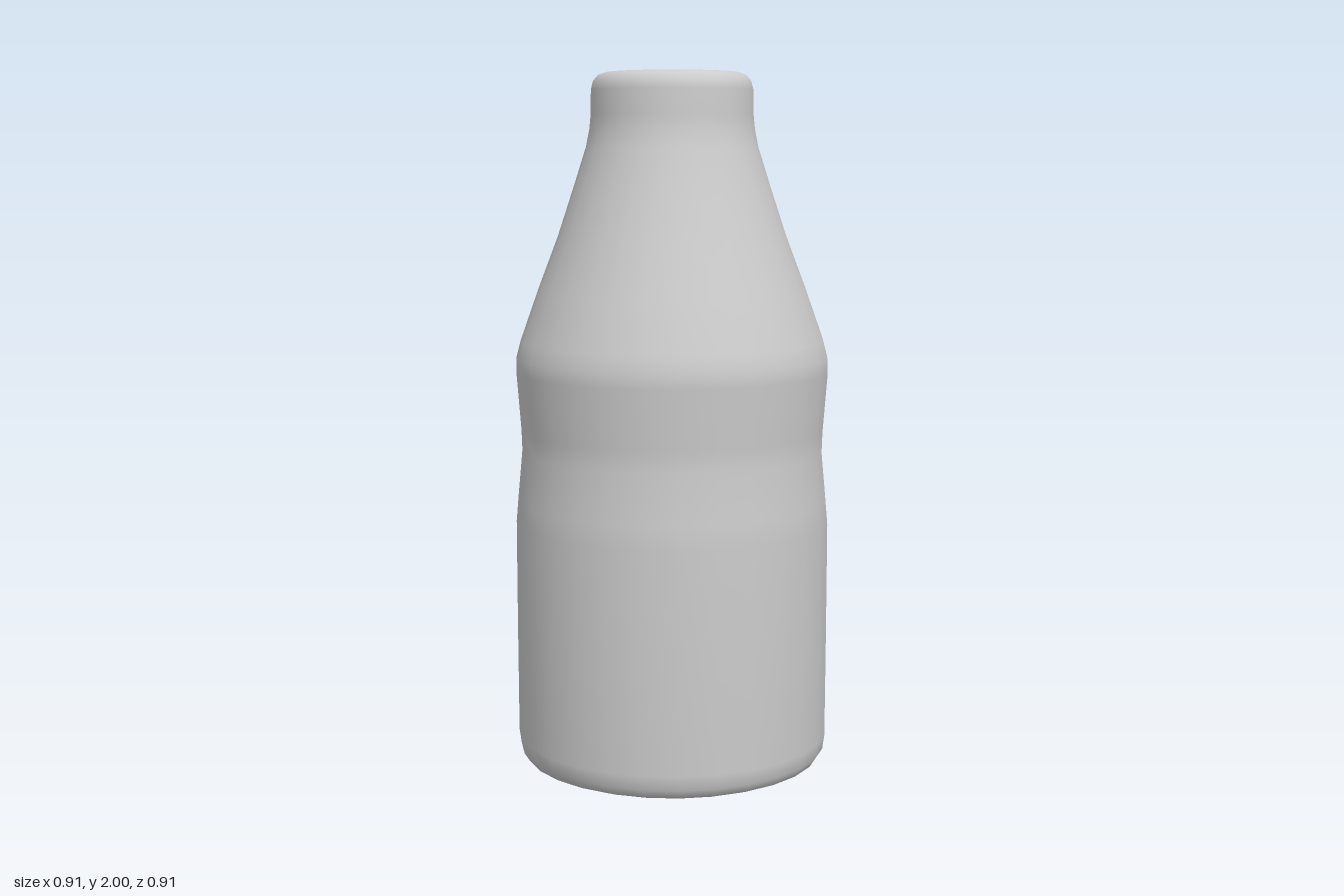
import * as THREE from 'three';

const SIDES = 28;

// Bottle outline from base centre to top centre: [radius, height]
const PROFILE = [
  [0, 0], [0.385, 0], [0.405, 0.002], [0.432, 0.013], [0.448, 0.038], [0.454, 0.08],
  [0.455, 0.4], [0.455, 0.71],                              // straight body
  [0.449, 0.78], [0.436, 0.92], [0.438, 0.98],              // shallow waist
  [0.451, 1.15], [0.45, 1.19], [0.437, 1.24],               // shoulder
  [0.384, 1.39], [0.327, 1.54], [0.281, 1.68], [0.246, 1.79], // taper
  [0.236, 1.84], [0.232, 1.88], [0.231, 1.95],              // neck
  [0.225, 1.975], [0.21, 1.992], [0.19, 1.999], [0.178, 2], [0, 2], // rounded lid
];

export function createModel() {
  const group = new THREE.Group();
  group.name = 'bottle';

  const points = PROFILE.map(([r, y]) => new THREE.Vector2(r, y));
  const geometry = new THREE.LatheGeometry(points, SIDES, THREE.MathUtils.degToRad(5));
  const bottle = new THREE.Mesh(geometry, new THREE.MeshStandardMaterial({ color: 0xcccccc }));
  bottle.name = 'bottleBody';
  group.add(bottle);

  return group;
}
